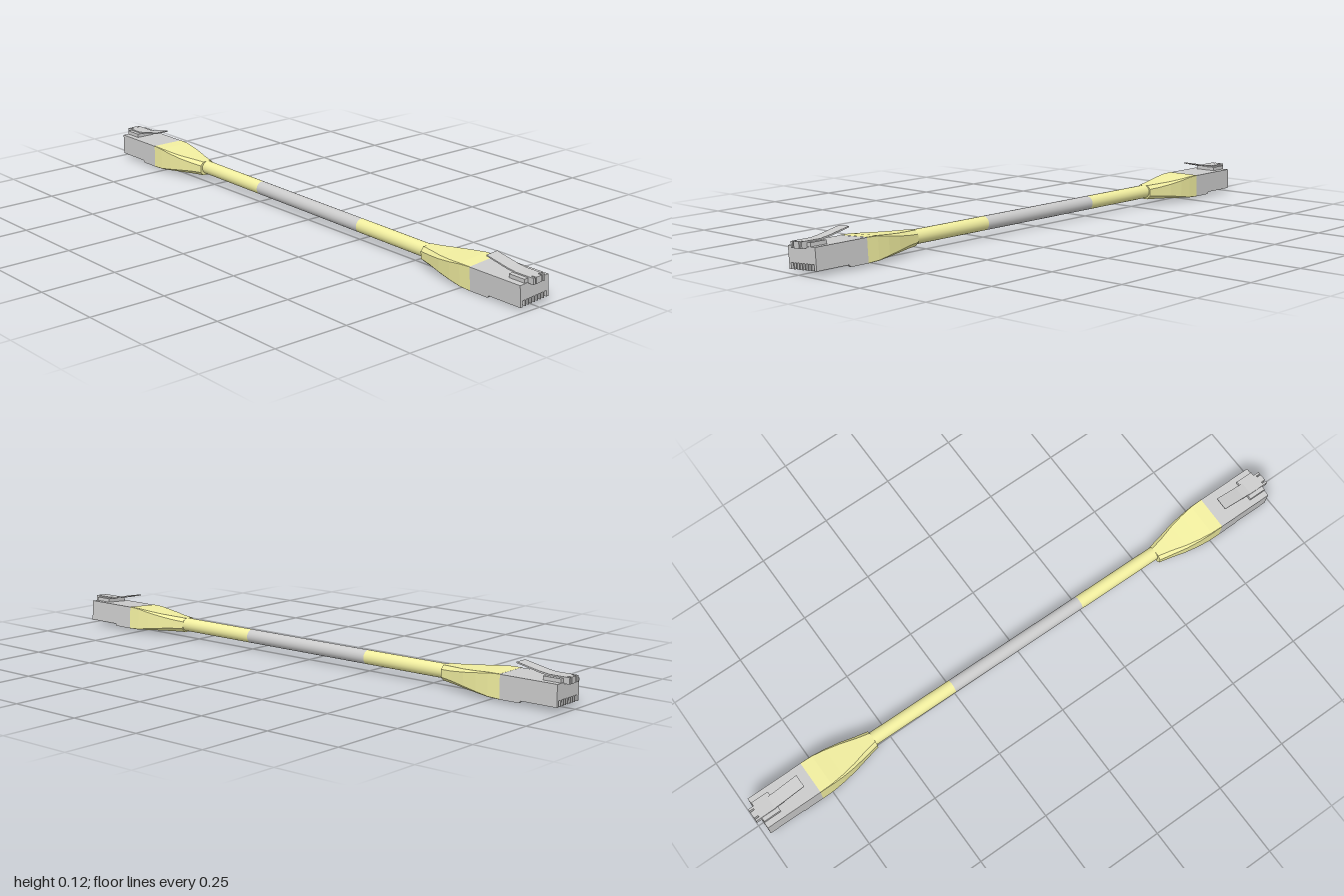
import * as THREE from 'three';

const grey = new THREE.MeshStandardMaterial({ color: 0xcccccc, flatShading: true });
const smoothGrey = new THREE.MeshStandardMaterial({ color: 0xcccccc });
const yellow = new THREE.MeshStandardMaterial({ color: 0xf2efa0, flatShading: true });
const smoothYellow = new THREE.MeshStandardMaterial({ color: 0xf2efa0 });

function add(parent, name, geometry, material) {
  const mesh = new THREE.Mesh(geometry, material);
  mesh.name = name;
  parent.add(mesh);
  return mesh;
}

// Box given by its limits along each axis
function box(parent, name, x0, x1, y0, y1, z0, z1) {
  const m = add(parent, name, new THREE.BoxGeometry(x1 - x0, y1 - y0, z1 - z0), grey);
  m.position.set((x0 + x1) / 2, (y0 + y1) / 2, (z0 + z1) / 2);
  return m;
}

// Side profile in x,y extruded across z between z0 and z1
function slab(parent, name, pts, z0, z1) {
  const shape = new THREE.Shape(pts.map(p => new THREE.Vector2(...p)));
  const g = new THREE.ExtrudeGeometry(shape, { depth: z1 - z0, bevelEnabled: false });
  g.translate(0, 0, z0);
  return add(parent, name, g, grey);
}

// Strain relief lofted from chamfered rectangles: [x, half height, half width, chamfer]
function bootGeometry() {
  const sections = [
    [0.555, 0.024, 0.028, 0.012],
    [0.60, 0.026, 0.037, 0.011],
    [0.65, 0.029, 0.048, 0.008],
    [0.70, 0.033, 0.055, 0.005],
    [0.745, 0.037, 0.058, 0.002],
    [0.787, 0.038, 0.058, 0.0005],
  ];
  const rings = sections.map(([x, h, w, c]) => [
    [h, w - c], [h - c, w], [c - h, w], [-h, w - c],
    [-h, c - w], [c - h, -w], [h - c, -w], [h, c - w],
  ].map(([y, z]) => [x, y, z]));
  const pos = [];
  for (let j = 0; j < 8; j++) {
    const k = (j + 1) % 8;
    for (let i = 0; i < rings.length - 1; i++) {
      const a = rings[i], b = rings[i + 1];
      pos.push(...a[j], ...a[k], ...b[j], ...a[k], ...b[k], ...b[j]);
    }
    pos.push(sections[0][0], 0, 0, ...rings[0][k], ...rings[0][j]);
  }
  const g = new THREE.BufferGeometry();
  g.setAttribute('position', new THREE.Float32BufferAttribute(pos, 3));
  g.computeVertexNormals();
  return g;
}

// One connector pointing to +x, with its axis on y = 0
function makeConnector(name) {
  const end = new THREE.Group();
  end.name = name;
  const w = 0.0575, inner = 0.049;
  add(end, 'boot', bootGeometry(), yellow);

  // Housing: upper block and lower side walls
  box(end, 'housing', 0.785, 0.982, -0.012, 0.037, -w, w);
  for (const s of [-1, 1]) {
    const z0 = s < 0 ? -w : inner, z1 = s < 0 ? -inner : w;
    slab(end, 'sideWall', [[0.785, -0.038], [0.855, -0.038], [0.86, -0.031],
      [0.982, -0.031], [0.982, -0.012], [0.785, -0.012]], z0, z1);
  }
  // Underside bars with the crimp groove between them
  box(end, 'rearBar', 0.785, 0.815, -0.038, -0.012, -inner, inner);
  slab(end, 'crimpBar', [[0.825, -0.012], [0.835, -0.03], [0.85, -0.03], [0.85, -0.012]], -inner, inner);
  box(end, 'frontBar', 0.865, 0.895, -0.031, -0.012, -inner, inner);

  // Contact slots: ribs with contacts between them
  const pitch = 2 * inner / 8;
  for (let i = 0; i < 8; i++) {
    const z = -inner + (i + 0.5) * pitch;
    box(end, 'contact', 0.902, 0.968, -0.024, -0.012, z - 0.002, z + 0.002);
    if (i < 7) box(end, 'contactRib', 0.895, 0.982, -0.031, -0.012, z + pitch / 2 - 0.002, z + pitch / 2 + 0.002);
  }

  // Latch: wide root, notched nose and sprung lever
  const latch = new THREE.Group();
  latch.name = 'latch';
  end.add(latch);
  box(latch, 'latchRoot', 0.92, 0.98, 0.036, 0.049, -0.037, 0.037);
  for (const [a, b] of [[-0.023, -0.016], [-0.011, 0.011], [0.016, 0.023]])
    box(latch, 'latchNose', 0.975, 1.0, 0.033, 0.053, a, b);
  box(latch, 'latchBridge', 0.925, 0.985, 0.047, 0.053, -0.023, 0.023);
  slab(latch, 'latchLever', [[0.93, 0.048], [0.93, 0.053], [0.9, 0.057], [0.82, 0.073], [0.82, 0.069], [0.9, 0.052]],
    -0.022, 0.022);
  return end;
}

export function createModel() {
  const model = new THREE.Group();
  model.name = 'patchCable';

  // Cord in three coloured lengths
  const start = new THREE.Vector3(-0.6, 0.049, -0.013);
  const stop = new THREE.Vector3(0.6, 0.046, -0.001);
  const dir = stop.clone().sub(start).normalize();
  const at = x => start.clone().lerp(stop, (x + 0.6) / 1.2);
  for (const [name, x0, x1, mat] of [
    ['rightCord', -0.6, -0.25, smoothYellow],
    ['middleCord', -0.25, 0.25, smoothGrey],
    ['leftCord', 0.25, 0.6, smoothYellow],
  ]) {
    const a = at(x0), b = at(x1);
    const m = add(model, name, new THREE.CylinderGeometry(0.0225, 0.0225, a.distanceTo(b), 24, 1, true), mat);
    m.position.copy(a).lerp(b, 0.5);
    m.quaternion.setFromUnitVectors(new THREE.Vector3(0, 1, 0), dir);
  }

  // Connectors, the left one rolled slightly
  const left = makeConnector('leftConnector');
  left.position.set(0, 0.044, 0.004);
  left.rotation.x = 0.07;
  const right = makeConnector('rightConnector');
  right.position.set(0, 0.047, -0.011);
  right.rotation.y = Math.PI;
  model.add(left, right);
  return model;
}
